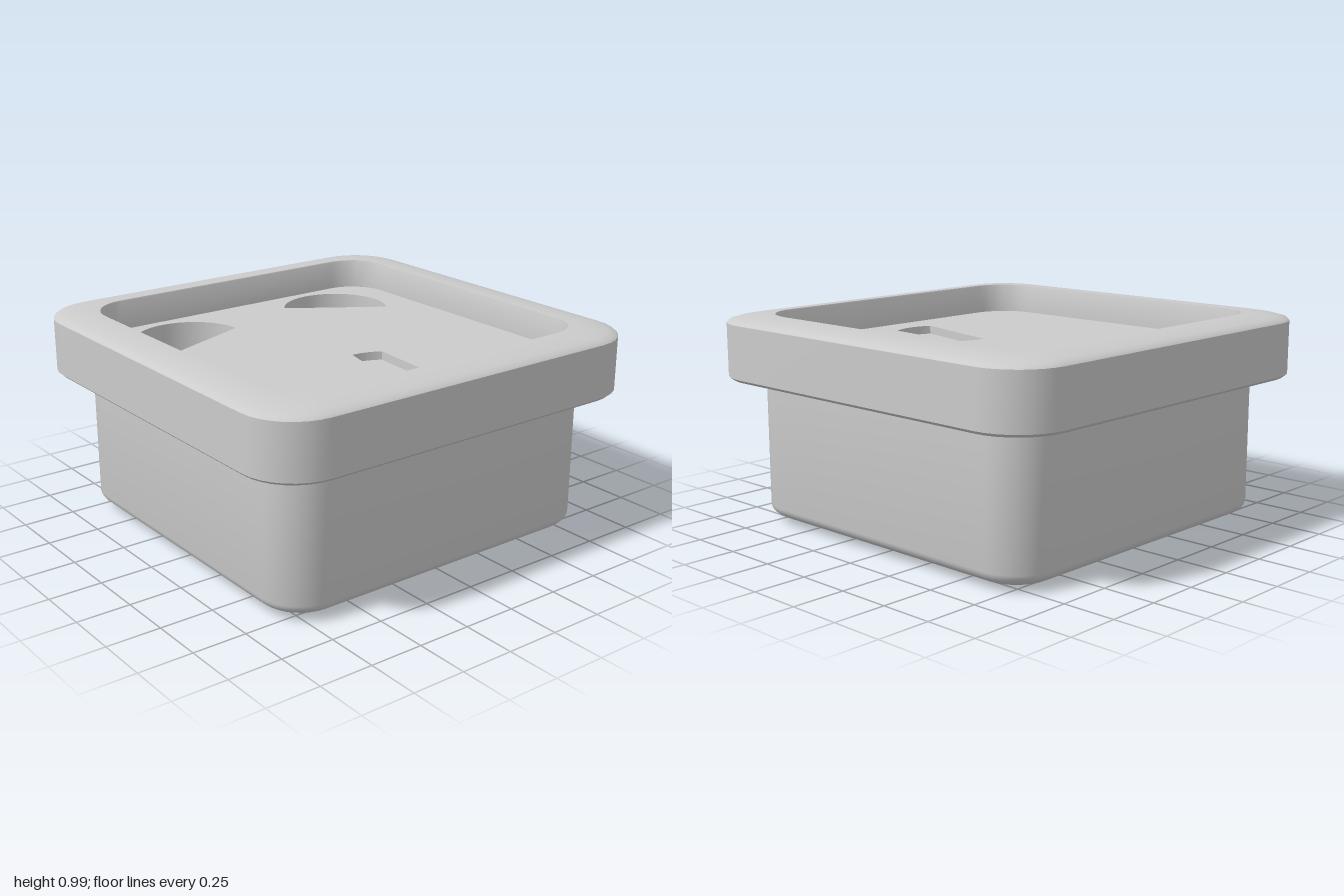
import * as THREE from 'three';
import { toCreasedNormals } from 'three/addons/utils/BufferGeometryUtils.js';

const PANEL_Y = 0.84;
const material = new THREE.MeshStandardMaterial({ color: 0xcccccc });
const thinMaterial = new THREE.MeshStandardMaterial({ color: 0xcccccc, side: THREE.DoubleSide });

// Rounded square outline, counter-clockwise seen from above
function roundedSquare(half, radius, steps = 8) {
  const points = [];
  for (let corner = 0; corner < 4; corner++) {
    const mid = (corner + 0.5) * Math.PI / 2;
    const cx = Math.sign(Math.cos(mid)) * (half - radius);
    const cy = Math.sign(Math.sin(mid)) * (half - radius);
    for (let i = 0; i <= steps; i++) {
      const a = (corner + i / steps) * Math.PI / 2;
      points.push(new THREE.Vector2(cx + radius * Math.cos(a), cy + radius * Math.sin(a)));
    }
  }
  return points;
}

// Skin a stack of outlines; each level is { points, y }
function loft(levels) {
  const n = levels[0].points.length;
  const position = [], index = [];
  for (const { points, y } of levels) for (const p of points) position.push(p.x, y, -p.y);
  for (let i = 0; i < levels.length - 1; i++) {
    for (let j = 0; j < n; j++) {
      const a = i * n + j, b = i * n + (j + 1) % n;
      index.push(a, b, b + n, a, b + n, a + n);
    }
  }
  const geometry = new THREE.BufferGeometry();
  geometry.setAttribute('position', new THREE.Float32BufferAttribute(position, 3));
  geometry.setIndex(index);
  return toCreasedNormals(geometry, 0.6);
}

const squareLoft = (profile) =>
  loft(profile.map(([half, radius, y]) => ({ points: roundedSquare(half, radius), y })));

function addMesh(parent, name, geometry, mat = material) {
  const mesh = new THREE.Mesh(geometry, mat);
  mesh.name = name;
  parent.add(mesh);
  return mesh;
}

// Flat horizontal face from a shape
function flatFace(shape, y) {
  return new THREE.ShapeGeometry(shape, 24).rotateX(-Math.PI / 2).translate(0, y, 0);
}

// Circle cut off by a chord; angles in degrees
function cutCircle(x, z, radius, from, to) {
  const path = new THREE.Shape();
  path.absarc(x, -z, radius, from * Math.PI / 180, to * Math.PI / 180, false);
  path.closePath();
  return path;
}

function taperedSlot() {
  const path = new THREE.Shape();
  path.moveTo(0, -0.17);
  path.lineTo(-0.115, -0.66);
  path.quadraticCurveTo(0, -0.715, 0.11, -0.66);
  path.lineTo(0.14, -0.21);
  path.quadraticCurveTo(0.08, -0.17, 0, -0.17);
  return path;
}

export function createModel() {
  const model = new THREE.Group();
  model.name = 'squareBox';

  // Lower body with softly rounded bottom edge
  const body = [[0.001, 0.001, 0]];
  for (let i = 0; i <= 8; i++) {
    const a = i / 8 * Math.PI / 2;
    const inset = 0.19 * (1 - Math.sin(a));
    body.push([0.862 - inset, 0.2 - inset * 0.8, 0.08 * (1 - Math.cos(a))]);
  }
  body.push([0.862, 0.2, 0.68]);
  addMesh(model, 'lowerBody', squareLoft(body));

  // Overhanging rim, from the underside round to the inner recess
  addMesh(model, 'rim', squareLoft([
    [0.84, 0.18, 0.67], [0.89, 0.19, 0.671], [0.95, 0.22, 0.677], [0.985, 0.24, 0.686], [1, 0.25, 0.7],
    [1, 0.25, 0.95], [0.99, 0.245, 0.96], [0.96, 0.23, 0.97], [0.91, 0.21, 0.979], [0.86, 0.2, 0.984],
    [0.825, 0.195, 0.985], [0.822, 0.19, 0.98],
    [0.822, 0.19, PANEL_Y],
  ]));

  // Recessed panel with three openings
  const pockets = [
    ['leftRoundPocket', cutCircle(0.425, -0.512, 0.26, -35, 147), 0.3],
    ['rightRoundPocket', cutCircle(-0.445, -0.512, 0.26, 0, 221), 0.3],
    ['frontSlot', taperedSlot(), 0.04],
  ];
  const panel = new THREE.Shape(roundedSquare(0.822, 0.19));
  for (const [, outline] of pockets) panel.holes.push(new THREE.Path(outline.getPoints(24)));
  addMesh(model, 'recessedPanel', flatFace(panel, PANEL_Y));

  // Pocket walls and floors
  for (const [name, outline, depth] of pockets) {
    const group = new THREE.Group();
    group.name = name;
    const points = outline.getPoints(24);
    addMesh(group, 'pocketWall', loft([{ points, y: PANEL_Y }, { points, y: PANEL_Y - depth }]), thinMaterial);
    addMesh(group, 'pocketFloor', flatFace(outline, PANEL_Y - depth));
    model.add(group);
  }
  return model;
}
